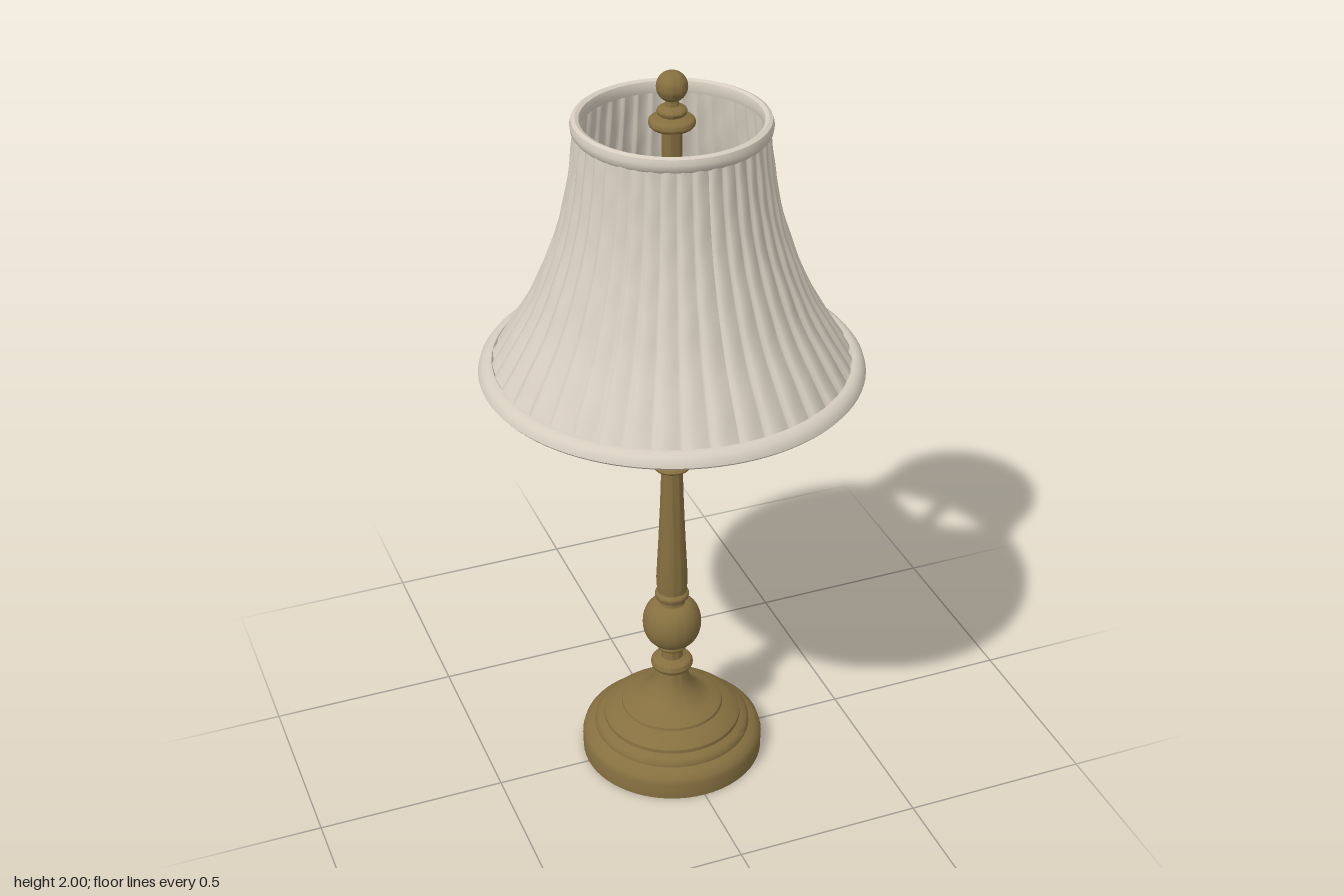
import * as THREE from 'three';
import { toCreasedNormals } from 'three/addons/utils/BufferGeometryUtils.js';

const brass = new THREE.MeshStandardMaterial({ color: 0x867040 });
brass.name = 'brass';
const fabric = new THREE.MeshStandardMaterial({ color: 0xd6cdbf, side: THREE.DoubleSide });
fabric.name = 'fabric';

// Points [radius, height] of a rounded swelling between two heights
function bulge(y0, y1, rNeck, rMax, n = 10) {
  const pts = [];
  for (let i = 0; i <= n; i++) {
    const a = Math.PI * i / n;
    pts.push([rNeck + (rMax - rNeck) * Math.sin(a), (y0 + y1) / 2 - (y1 - y0) / 2 * Math.cos(a)]);
  }
  return pts;
}

// Smooth run of points through a few [radius, height] knots
function sweep(knots, n) {
  const curve = new THREE.SplineCurve(knots.map(p => new THREE.Vector2(...p)));
  return curve.getPoints(n).map(p => [p.x, p.y]);
}

function turned(name, pts, material, segments = 64) {
  const lathe = new THREE.LatheGeometry(pts.map(p => new THREE.Vector2(...p)), segments);
  const mesh = new THREE.Mesh(toCreasedNormals(lathe, 0.65), material);
  mesh.name = name;
  return mesh;
}

// Pleated fabric skin: a lathe whose folds overlap around the shade
function pleatedSkin() {
  const profile = sweep([[0.452, 1.225], [0.41, 1.295], [0.35, 1.4], [0.308, 1.5],
    [0.274, 1.6], [0.251, 1.7], [0.237, 1.8], [0.23, 1.875]], 28);
  const pleats = 40, steps = 8;
  const geo = new THREE.LatheGeometry(profile.map(p => new THREE.Vector2(...p)), pleats * steps);
  const pos = geo.attributes.position;
  const rows = profile.length;
  for (let i = 0; i < pos.count; i++) {
    const column = Math.floor(i / rows);
    const t = (column % steps) / steps;
    const x = pos.getX(i), y = pos.getY(i), z = pos.getZ(i);
    const r = Math.hypot(x, z);
    const fold = 0.026 * r * (Math.sin(Math.PI * Math.pow(t, 0.6)) - 0.4);
    const pleat = Math.floor(column / steps) % pleats;
    const wrinkle = 0.0012 * Math.sin(y * 45 + pleat * 2.4) * Math.sin(Math.PI * t);
    const k = (r + fold + wrinkle) / r;
    pos.setXYZ(i, x * k, y, z * k);
  }
  geo.computeVertexNormals();
  const mesh = new THREE.Mesh(geo, fabric);
  mesh.name = 'pleatedShade';
  return mesh;
}

export function createModel() {
  const lamp = new THREE.Group();
  lamp.name = 'tableLamp';

  // Stepped round foot flaring up into the stem
  lamp.add(turned('base', [
    [0, 0], [0.246, 0], [0.247, 0.045], [0.242, 0.062], [0.228, 0.073], [0.212, 0.08],
    [0.211, 0.09], [0.203, 0.099], [0.187, 0.107], [0.186, 0.117], [0.176, 0.126],
    [0.155, 0.138], [0.138, 0.145], [0.136, 0.152],
    ...sweep([[0.13, 0.156], [0.095, 0.171], [0.068, 0.195], [0.05, 0.225], [0.041, 0.262]], 14),
  ], brass));

  // Lower rings and large bulb
  lamp.add(turned('lowerBulb', [
    [0.041, 0.262], ...bulge(0.264, 0.296, 0.042, 0.057), [0.03, 0.302], [0.028, 0.325],
    ...bulge(0.33, 0.35, 0.032, 0.042, 6), ...bulge(0.35, 0.48, 0.036, 0.079, 16),
    [0.034, 0.488], ...bulge(0.494, 0.518, 0.036, 0.046, 6), [0.04, 0.522],
  ], brass));

  // Tapered column
  lamp.add(turned('column', [
    [0.04, 0.52], [0.042, 0.56], [0.036, 0.68], [0.031, 0.8], [0.028, 0.9], [0.036, 0.906],
  ], brass));

  // Upper rings, bulb and tapered collar
  lamp.add(turned('upperBulb', [
    [0.036, 0.904], ...bulge(0.906, 0.924, 0.036, 0.05, 6), [0.034, 0.928],
    ...bulge(0.932, 0.95, 0.036, 0.046, 6), ...bulge(0.95, 1.056, 0.034, 0.066, 14),
    ...bulge(1.058, 1.08, 0.036, 0.047, 6), [0.039, 1.085], [0.036, 1.11], [0.029, 1.15],
    ...bulge(1.154, 1.178, 0.028, 0.035, 6), [0.025, 1.185],
  ], brass));

  // Rod hidden inside the shade
  lamp.add(turned('rod', [[0.025, 1.18], [0.025, 1.87]], brass, 32));

  // Finial with collar and ball
  lamp.add(turned('finial', [
    [0, 1.858], [0.046, 1.858], ...bulge(1.86, 1.884, 0.046, 0.057, 6), [0.024, 1.888],
    ...bulge(1.89, 1.91, 0.026, 0.037, 6), [0.017, 1.915], [0.015, 1.928],
    ...bulge(1.924, 2.0, 0, 0.038, 18).slice(3),
  ], brass, 48));

  // Shade with rolled rims
  const shade = new THREE.Group();
  shade.name = 'shade';
  shade.add(pleatedSkin());
  shade.add(turned('topRim', [
    [0.22, 1.852], [0.234, 1.848], [0.24, 1.856], [0.242, 1.87], [0.238, 1.883],
    [0.229, 1.887], [0.22, 1.883], [0.216, 1.87], [0.22, 1.852],
  ], fabric, 80));
  shade.add(turned('bottomRim', [
    [0.452, 1.212], [0.466, 1.207], [0.48, 1.207], [0.485, 1.213], [0.482, 1.224],
    [0.473, 1.236], [0.461, 1.243], [0.45, 1.243], [0.444, 1.232], [0.452, 1.212],
  ], fabric, 96));
  lamp.add(shade);

  return lamp;
}
